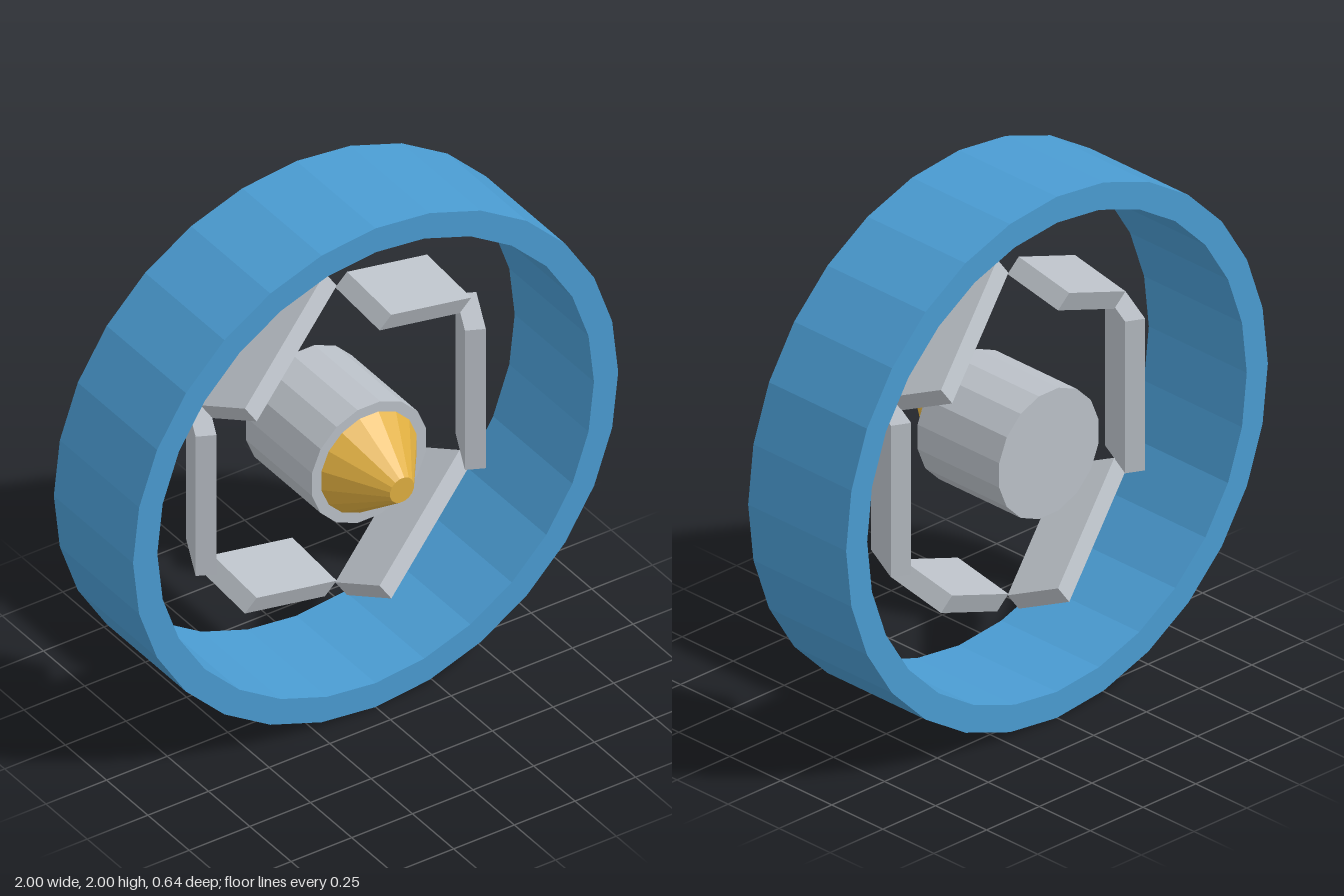
import * as THREE from 'three';

const blue = new THREE.MeshStandardMaterial({ color: 0x4a9bd1 });
blue.name = 'blue';
const grey = new THREE.MeshStandardMaterial({ color: 0xbac0c7 });
grey.name = 'lightGrey';
const gold = new THREE.MeshStandardMaterial({ color: 0xdfae40 });
gold.name = 'gold';

const MID = -0.08; // depth of the ring's middle plane

function mesh(name, geometry, material) {
  const m = new THREE.Mesh(geometry, material);
  m.name = name;
  return m;
}

// Regular polygon outline with a corner at the top
function polygon(radius, sides) {
  return Array.from({ length: sides }, (_, i) => {
    const a = Math.PI / 2 + (i / sides) * Math.PI * 2;
    return new THREE.Vector2(Math.cos(a) * radius, Math.sin(a) * radius);
  });
}

// Faceted drum along z, with a flat side at the top
function drum(frontRadius, backRadius, length, z) {
  const sides = 16;
  let g = new THREE.CylinderGeometry(frontRadius, backRadius, length, sides);
  g.rotateY(Math.PI / sides);
  g.rotateX(Math.PI / 2);
  g.translate(0, 0, z);
  g = g.toNonIndexed();
  g.computeVertexNormals();
  return g;
}

export function createModel() {
  const model = new THREE.Group();
  model.name = 'ductedRotor';
  const rotor = new THREE.Group();
  rotor.name = 'rotor';
  rotor.position.y = 1;
  model.add(rotor);

  // Outer ring
  const outline = new THREE.Shape(polygon(1, 28));
  outline.holes.push(new THREE.Path(polygon(0.9, 28)));
  const ring = new THREE.ExtrudeGeometry(outline, { depth: 0.48, bevelEnabled: false });
  ring.translate(0, 0, MID - 0.24);
  rotor.add(mesh('outerRing', ring, blue));

  // Hub and nose cone
  rotor.add(mesh('hub', drum(0.24, 0.24, 0.4, MID), grey));
  rotor.add(mesh('noseCone', drum(0.05, 0.2, 0.2, 0.22), gold));

  // Six blades, each pitched about an axis that turns at twice the blade angle
  const bladeGeometry = new THREE.BoxGeometry(0.072, 0.582, 0.22);
  const spin = (a) => new THREE.Matrix4().makeRotationZ(a);
  const pitch = new THREE.Matrix4().makeRotationY(-0.45);
  for (let i = 0; i < 6; i++) {
    const a = (i * Math.PI) / 3;
    const blade = mesh('blade' + (i + 1), bladeGeometry, grey);
    blade.quaternion.setFromRotationMatrix(spin(2 * a).multiply(pitch).multiply(spin(-a)));
    blade.position.set(Math.cos(a) * 0.555, Math.sin(a) * 0.555, MID);
    rotor.add(blade);
  }
  return model;
}
